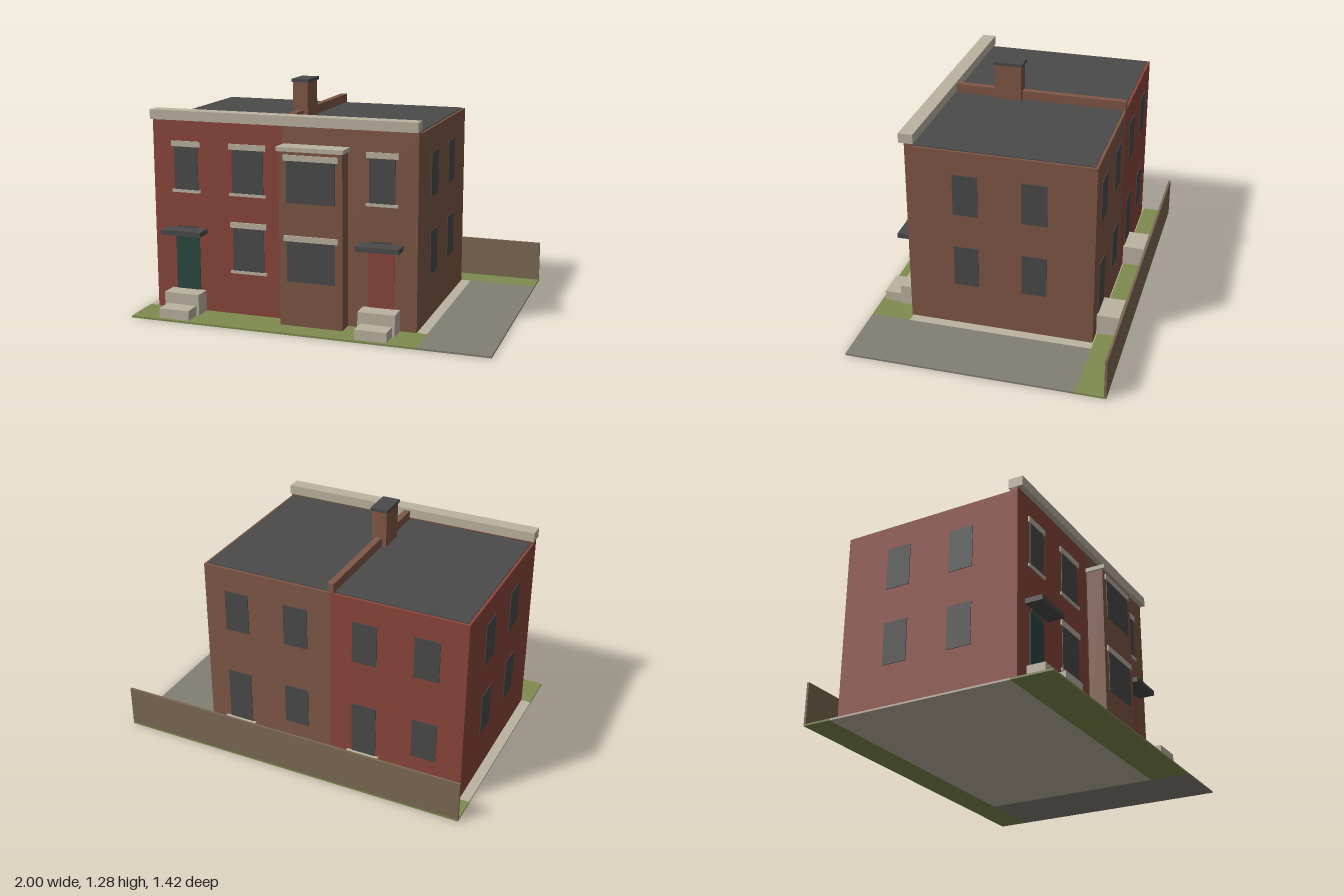
import * as THREE from 'three';

const mat = (name, color) => {
  const m = new THREE.MeshStandardMaterial({ color });
  m.name = name;
  return m;
};

export function createModel() {
  const red = mat('red brick', 0x8a463b);
  const brown = mat('brown brick', 0x7f5746);
  const stone = mat('pale stone', 0xbcb3a1);
  const slate = mat('dark slate', 0x4a4a4a);
  const grass = mat('grass', 0x7f8b4f);
  const paving = mat('paving', 0x827e74);
  const timber = mat('fence timber', 0x7c6852);
  const teal = mat('teal paint', 0x2c4840);

  const model = new THREE.Group();
  model.name = 'semiDetachedHouse';

  // Box given by its limits on each axis
  const box = (name, m, x0, x1, y0, y1, z0, z1) => {
    const mesh = new THREE.Mesh(new THREE.BoxGeometry(x1 - x0, y1 - y0, z1 - z0), m);
    mesh.position.set((x0 + x1) / 2, (y0 + y1) / 2, (z0 + z1) / 2);
    mesh.name = name;
    model.add(mesh);
    return mesh;
  };

  const L = -0.945, R = 0.557, MID = -0.19, FRONT = 0.49, BACK = -0.54, BAY = 0.585;
  const WALL = 1.06, T = 0.004;

  // Plot
  box('backLawn', grass, -1, 1, 0, 0.01, -0.708, -0.545);
  box('frontLawn', grass, -1, 0.613, 0, 0.01, 0.485, 0.708);
  box('driveway', paving, 0.613, 1, 0, 0.01, -0.545, 0.708);
  box('foundationSlab', stone, -1, 0.613, 0, 0.01, -0.545, 0.485);
  box('backFence', timber, -1, 1, 0.01, 0.238, -0.708, -0.695);

  // Two adjoining houses with front parapets and flat roofs
  box('leftHouseWalls', red, L, MID, 0.008, WALL, BACK, FRONT);
  box('rightHouseWalls', brown, MID, R, 0.008, WALL, BACK, FRONT);
  box('leftParapet', red, L, MID, WALL, 1.1, 0.45, FRONT);
  box('rightParapet', brown, MID, R, WALL, 1.1, 0.45, FRONT);
  box('leftRoof', slate, -0.93, -0.21, WALL, WALL + 0.005, -0.525, 0.45);
  box('rightRoof', slate, -0.175, 0.543, WALL, WALL + 0.005, -0.525, 0.45);
  box('partyWall', brown, -0.21, -0.175, WALL, 1.115, BACK, 0.485);
  box('cornice', stone, L - 0.002, 0.56, 1.075, 1.128, 0.44, 0.52);

  // Chimney
  box('chimneyStack', brown, -0.235, -0.15, WALL, 1.268, 0.053, 0.205);
  box('chimneyCap', slate, -0.242, -0.143, 1.268, 1.285, 0.045, 0.212);

  // Two-storey bay
  box('bay', brown, -0.173, 0.178, 0.01, 0.955, FRONT, BAY);
  box('bayCap', stone, -0.183, 0.187, 0.955, 0.978, FRONT, 0.6);

  // Front windows: [x0, x1, y0, y1, wall z, has sill]
  for (const [x0, x1, y0, y1, z, sill] of [
    [-0.82, -0.682, 0.69, 0.928, FRONT, true],
    [-0.48, -0.3, 0.69, 0.928, FRONT, true],
    [-0.48, -0.3, 0.258, 0.498, FRONT, true],
    [0.293, 0.435, 0.69, 0.928, FRONT, true],
    [-0.13, 0.138, 0.682, 0.906, BAY, false],
    [-0.13, 0.138, 0.255, 0.476, BAY, false],
  ]) {
    box('frontWindow', slate, x0, x1, y0, y1, z, z + T);
    box('windowLintel', stone, x0 - 0.016, x1 + 0.016, y1, y1 + 0.031, z, z + 0.008);
    if (sill) box('windowSill', stone, x0 - 0.016, x1 + 0.016, y0 - 0.016, y0, z, z + 0.008);
  }

  // Front entrances: door, transom, canopy and two steps
  for (const [cx, paint] of [[-0.752, teal], [0.364, red]]) {
    box('frontDoor', paint, cx - 0.071, cx + 0.071, 0.12, 0.428, FRONT, FRONT + T);
    box('transomWindow', slate, cx - 0.057, cx + 0.057, 0.435, 0.487, FRONT, FRONT + T);
    box('doorCanopy', slate, cx - 0.117, cx + 0.117, 0.45, 0.477, FRONT, BAY);
    box('upperStep', stone, cx - 0.102, cx + 0.102, 0.01, 0.127, FRONT, 0.59);
    box('lowerStep', stone, cx - 0.087, cx + 0.087, 0.01, 0.064, 0.59, 0.69);
  }

  // Side windows on both flanks
  for (const [z0, z1] of [[0.095, 0.233], [-0.282, -0.143]])
    for (const [y0, y1] of [[0.69, 0.926], [0.26, 0.495]]) {
      box('rightSideWindow', slate, R, R + T, y0, y1, z0, z1);
      box('leftSideWindow', slate, L - T, L, y0, y1, z0, z1);
    }

  // Back windows and back doors with their steps
  for (const [x0, x1, door] of [
    [0.297, 0.437, true], [-0.055, 0.085, false],
    [-0.455, -0.315, true], [-0.8, -0.66, false],
  ]) {
    box('backUpperWindow', slate, x0, x1, 0.69, 0.926, BACK - T, BACK);
    box(door ? 'backDoor' : 'backLowerWindow', slate, x0, x1, door ? 0.12 : 0.2, 0.428, BACK - T, BACK);
    if (door) box('backStep', stone, x0 - 0.02, x1 + 0.025, 0.01, 0.126, -0.665, BACK);
  }

  return model;
}
